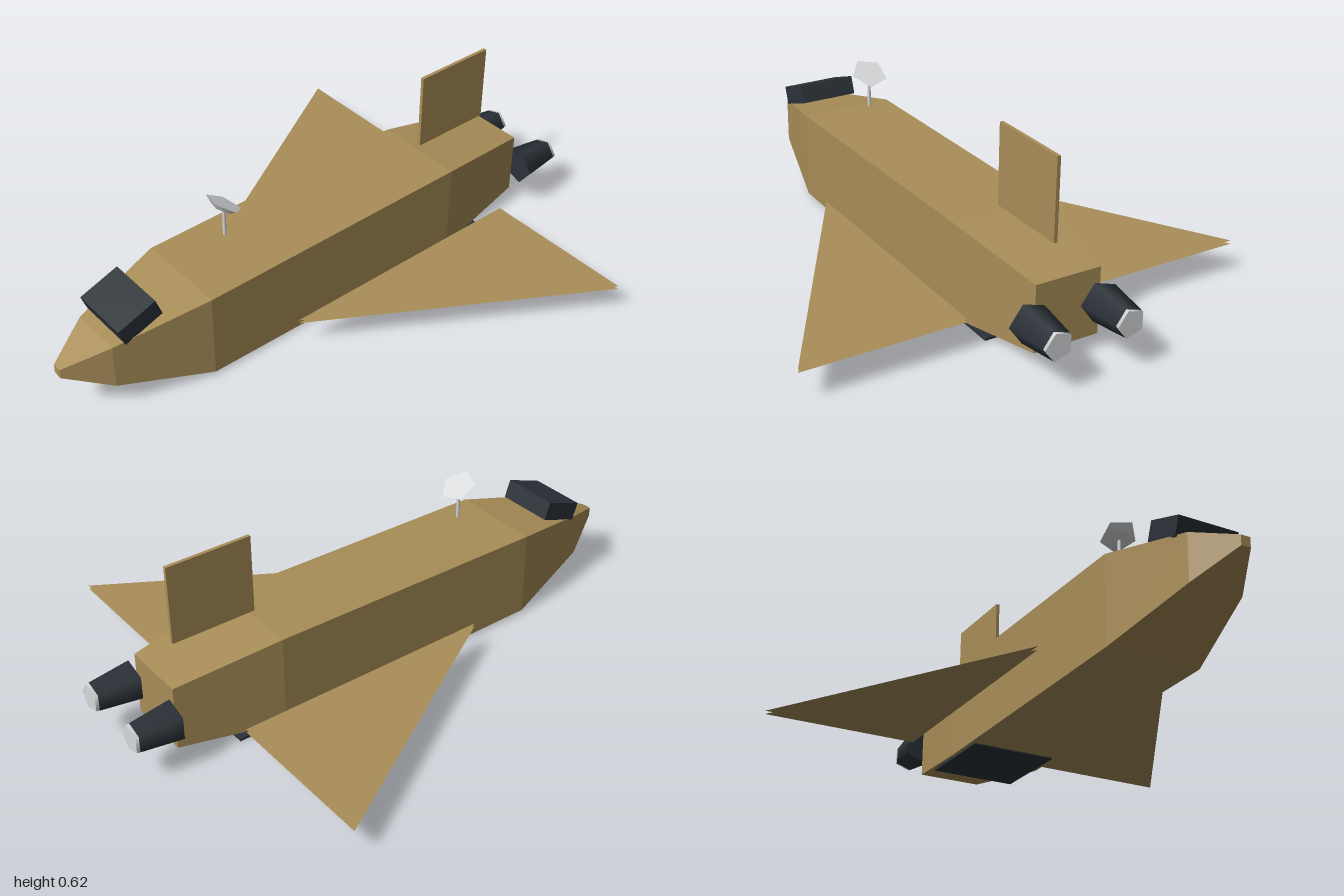
import * as THREE from 'three';

export function createModel() {
  const tan = new THREE.MeshStandardMaterial({ name: 'tan hull', color: 0xa98e58, side: THREE.DoubleSide });
  const dark = new THREE.MeshStandardMaterial({ name: 'dark slate', color: 0x2b3238 });
  const silver = new THREE.MeshStandardMaterial({ name: 'silver', color: 0xd6d8da });

  const model = new THREE.Group();
  const add = (name, geometry, material, x = 0, y = 0, z = 0, parent = model) => {
    const mesh = new THREE.Mesh(geometry, material);
    mesh.name = name;
    mesh.position.set(x, y, z);
    parent.add(mesh);
    return mesh;
  };

  // Fuselage: rectangular sections from nose to tail [z, half width, bottom, top]
  const sections = [
    [1, 0.016, 0.165, 0.198],
    [0.855, 0.09, 0.097, 0.255],
    [0.535, 0.163, 0.012, 0.315],
    [-0.48, 0.163, 0.003, 0.324],
    [-0.845, 0.113, 0.052, 0.275],
  ].map(([z, w, b, t]) => [[-w, b, z], [w, b, z], [w, t, z], [-w, t, z]]);
  const pos = [];
  const quad = (a, b, c, d) => pos.push(...a, ...b, ...c, ...a, ...c, ...d);
  quad(...sections[0]);
  for (let i = 0; i < sections.length - 1; i++) {
    const f = sections[i], r = sections[i + 1];
    for (let k = 0; k < 4; k++) {
      const n = (k + 1) % 4;
      quad(f[k], r[k], r[n], f[n]);
    }
  }
  quad(...[...sections[sections.length - 1]].reverse());
  const hull = new THREE.BufferGeometry();
  hull.setAttribute('position', new THREE.Float32BufferAttribute(pos, 3));
  hull.computeVertexNormals();
  add('fuselage', hull, tan);

  // Delta wings: an upper and a lower skin on each side, open at the edges
  for (const s of [1, -1]) {
    const wing = new THREE.Group();
    wing.name = s > 0 ? 'leftWing' : 'rightWing';
    model.add(wing);
    const outline = new THREE.Shape([
      new THREE.Vector2(s * 0.23, -0.25),
      new THREE.Vector2(s * 0.775, 0.67),
      new THREE.Vector2(s * 0.23, 0.67),
    ]);
    const skin = new THREE.ShapeGeometry(outline).rotateX(-Math.PI / 2);
    add('upperSkin', skin, tan, 0, 0.112, 0, wing);
    add('lowerSkin', skin.clone().rotateZ(Math.PI).scale(-1, 1, 1), tan, 0, 0.1, 0, wing);
    // Lower skin faces down
    const lower = wing.children[1];
    lower.geometry = skin.clone();
    const idx = lower.geometry.index.array;
    for (let i = 0; i < idx.length; i += 3) [idx[i], idx[i + 1]] = [idx[i + 1], idx[i]];
    lower.geometry.computeVertexNormals();
  }

  // Tail fin
  add('tailFin', new THREE.BoxGeometry(0.012, 0.272, 0.296), tan, 0, 0.484, -0.626);

  // Tilted cockpit block
  add('cockpit', new THREE.BoxGeometry(0.208, 0.065, 0.147), dark, 0, 0.31, 0.757).rotation.x = 0.34;

  // Belly hatch
  add('bellyHatch', new THREE.BoxGeometry(0.3, 0.009, 0.31), dark, 0, 0.0045, -0.49);

  // Five-sided engine nozzles with silver outlets
  const pentagonal = (rTop, rBottom, h) =>
    new THREE.CylinderGeometry(rTop, rBottom, h, 5, 1, false, Math.PI / 2);
  for (const [x, side] of [[0.136, 'left'], [-0.113, 'right']]) {
    const engine = new THREE.Group();
    engine.name = side + 'Engine';
    engine.position.set(x, 0.163, 0);
    model.add(engine);
    add('nozzle', pentagonal(0.049, 0.067, 0.142).rotateX(-Math.PI / 2), dark, 0, 0, -0.918, engine);
    add('outlet', pentagonal(0.047, 0.048, 0.012).rotateX(-Math.PI / 2), silver, 0, 0, -0.994, engine);
  }

  // Antenna mast and tilted five-sided dish
  add('antennaMast', new THREE.CylinderGeometry(0.006, 0.006, 0.105, 8), silver, 0, 0.437, 0.36);
  add('antennaDish', pentagonal(0.063, 0.035, 0.018), silver, 0, 0.497, 0.362).rotation.x = -0.56;

  return model;
}
